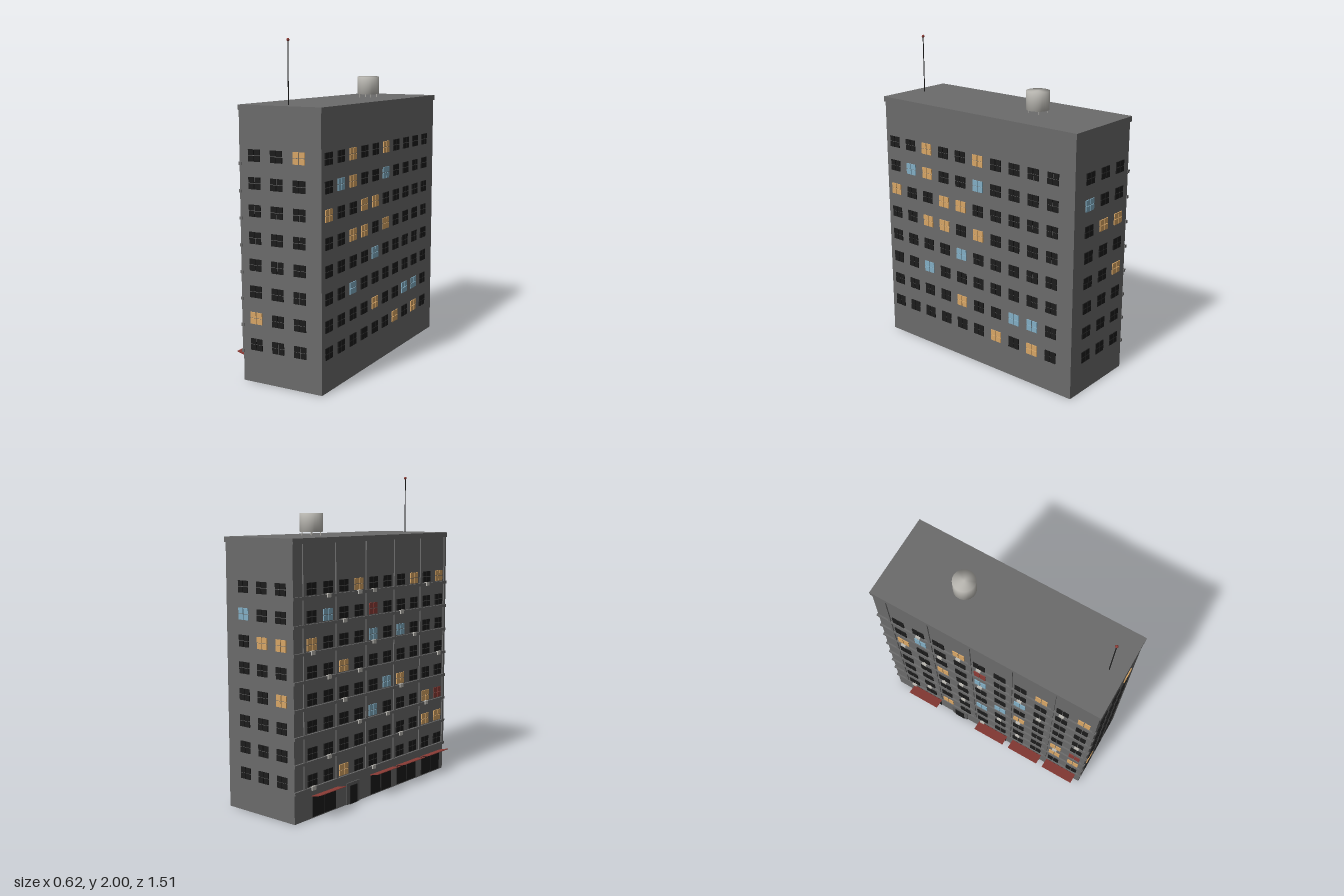
import * as THREE from 'three';
import { mergeGeometries, mergeVertices } from 'three/addons/utils/BufferGeometryUtils.js';

const mat = (name, color, side = THREE.FrontSide) => {
  const m = new THREE.MeshStandardMaterial({ color, side });
  m.name = name;
  return m;
};

export function createModel() {
  const concrete = mat('concrete', 0x6b6b6b);
  const trim = mat('trim grey', 0x5e5e5e);
  const darkGlass = mat('dark glass', 0x1c1c1c);
  const warmGlass = mat('warm light', 0xd8a666);
  const coolGlass = mat('cool light', 0x82aec4);
  const red = mat('red', 0x8c3c36, THREE.DoubleSide);
  const metal = mat('pale metal', 0xbcbab4);
  const glass = { '.': darkGlass, o: warmGlass, b: coolGlass, r: red };

  const model = new THREE.Group();
  model.name = 'apartmentBlock';
  const add = (name, geo, material, x, y, z, parent = model) => {
    const m = new THREE.Mesh(geo, material);
    m.name = name;
    m.position.set(x, y, z);
    parent.add(m);
    return m;
  };
  const box = (name, material, x0, x1, y0, y1, z0, z1) =>
    add(name, new THREE.BoxGeometry(x1 - x0, y1 - y0, z1 - z0), material,
      (x0 + x1) / 2, (y0 + y1) / 2, (z0 + z1) / 2);

  // Body and roof slab
  box('body', concrete, -0.236, 0.298, 0, 1.6, -0.75, 0.75);
  box('roofSlab', concrete, -0.245, 0.305, 1.598, 1.63, -0.757, 0.757);

  // Four-pane window, thin enough to sit on the wall
  const panes = [];
  for (const sx of [-1, 1]) for (const sy of [-1, 1])
    panes.push(new THREE.BoxGeometry(0.037, 0.033, 0.008).translate(sx * 0.021, sy * 0.0185, 0));
  const windowGeo = mergeGeometries(panes);
  const TOP = 1.345, FLOOR = 0.159, COL = 0.1415;

  // Each row string runs left to right as seen from outside that wall
  const windowWall = (name, angle, distance, firstX, pitch, rows) => {
    const wall = new THREE.Group();
    wall.name = name;
    wall.rotation.y = angle;
    rows.forEach((row, r) => [...row].forEach((c, i) =>
      add('window', windowGeo, glass[c], firstX + i * pitch, TOP - r * FLOOR, distance + 0.002, wall)));
    model.add(wall);
  };
  windowWall('frontWindows', 0, 0.75, -0.142, 0.149,
    ['..o', '...', '...', '...', '...', '...', 'o..', '...']);
  windowWall('backWindows', Math.PI, 0.75, -0.155, 0.149,
    ['...', 'b..', '.oo', '...', '..o', '...', '...', '...']);
  windowWall('leftWindows', Math.PI / 2, 0.298, -0.674, COL, [
    '..o..o....', '.bo..b....', 'o..oo.....', '..oo.o....',
    '....b.....', '..b.......', '....o..bb.', '......o.o.']);
  windowWall('rightWindows', -Math.PI / 2, 0.236, -0.6, COL, [
    '...o...o.o', '.b..r.....', 'o...b.b...', '..o.......',
    '.....bo...', '....b...or', '........oo', '..o.......']);

  // Pillars and floor ledges of the street side
  for (let i = 0; i < 6; i++) {
    const z = -0.664 + i * COL * 2;
    const z1 = Math.min(z + 0.009, 0.75);
    box('pillar', concrete, -0.244, -0.23, 0.17, 1.6, z1 - 0.018, z1);
  }
  for (let r = 0; r < 8; r++) {
    const y = 1.295 - r * FLOOR;
    box('floorLedge', concrete, -0.247, -0.23, y - 0.009, y + 0.009, -0.756, 0.756);
  }

  // Air conditioners: [window column, floor from the top]
  const coolers = [[1, 0], [3, 0], [4, 0], [8, 0], [2, 1], [6, 1], [0, 2], [4, 2], [7, 2], [1, 3],
    [3, 3], [9, 3], [2, 4], [6, 4], [3, 5], [5, 5], [8, 5], [1, 6], [6, 6], [0, 7], [4, 7]];
  for (const [c, r] of coolers) {
    const z = -0.6 + c * COL, y = 1.298 - r * FLOOR;
    box('airConditioner', metal, -0.254, -0.236, y - 0.012, y + 0.012, z - 0.016, z + 0.016);
  }

  // Shops with glazing and upturned awnings
  for (const z of [-0.495, 0.05, 0.325, 0.6]) {
    for (const s of [-1, 1])
      box('shopGlass', darkGlass, -0.241, -0.232, 0.008, 0.13, z + s * 0.054 - 0.05, z + s * 0.054 + 0.05);
    const awning = add('awning', new THREE.BoxGeometry(0.072, 0.004, 0.23), red, -0.275, 0.145, z);
    awning.rotation.z = -0.25;
  }

  // House entrance
  box('entranceFrame', trim, -0.243, -0.232, 0, 0.135, -0.29, -0.17);
  box('entranceDoor', darkGlass, -0.247, -0.24, 0, 0.115, -0.265, -0.195);

  // Water tank with softly shaded edges, on short legs
  const tankGeo = new THREE.CylinderGeometry(0.07, 0.07, 0.112, 32);
  tankGeo.deleteAttribute('uv');
  tankGeo.deleteAttribute('normal');
  const softTank = mergeVertices(tankGeo);
  softTank.computeVertexNormals();
  add('waterTank', softTank, metal, 0.043, 1.708, -0.285);
  for (const sx of [-1, 1]) for (const sz of [-1, 1])
    add('tankLeg', new THREE.CylinderGeometry(0.003, 0.003, 0.03, 6), metal,
      0.043 + sx * 0.04, 1.642, -0.285 + sz * 0.04);

  // Antenna with warning lamp
  add('antennaMast', new THREE.CylinderGeometry(0.003, 0.003, 0.36, 8), darkGlass, 0.033, 1.81, 0.66);
  add('antennaLamp', new THREE.SphereGeometry(0.009, 12, 8), red, 0.033, 1.991, 0.66);

  return model;
}
